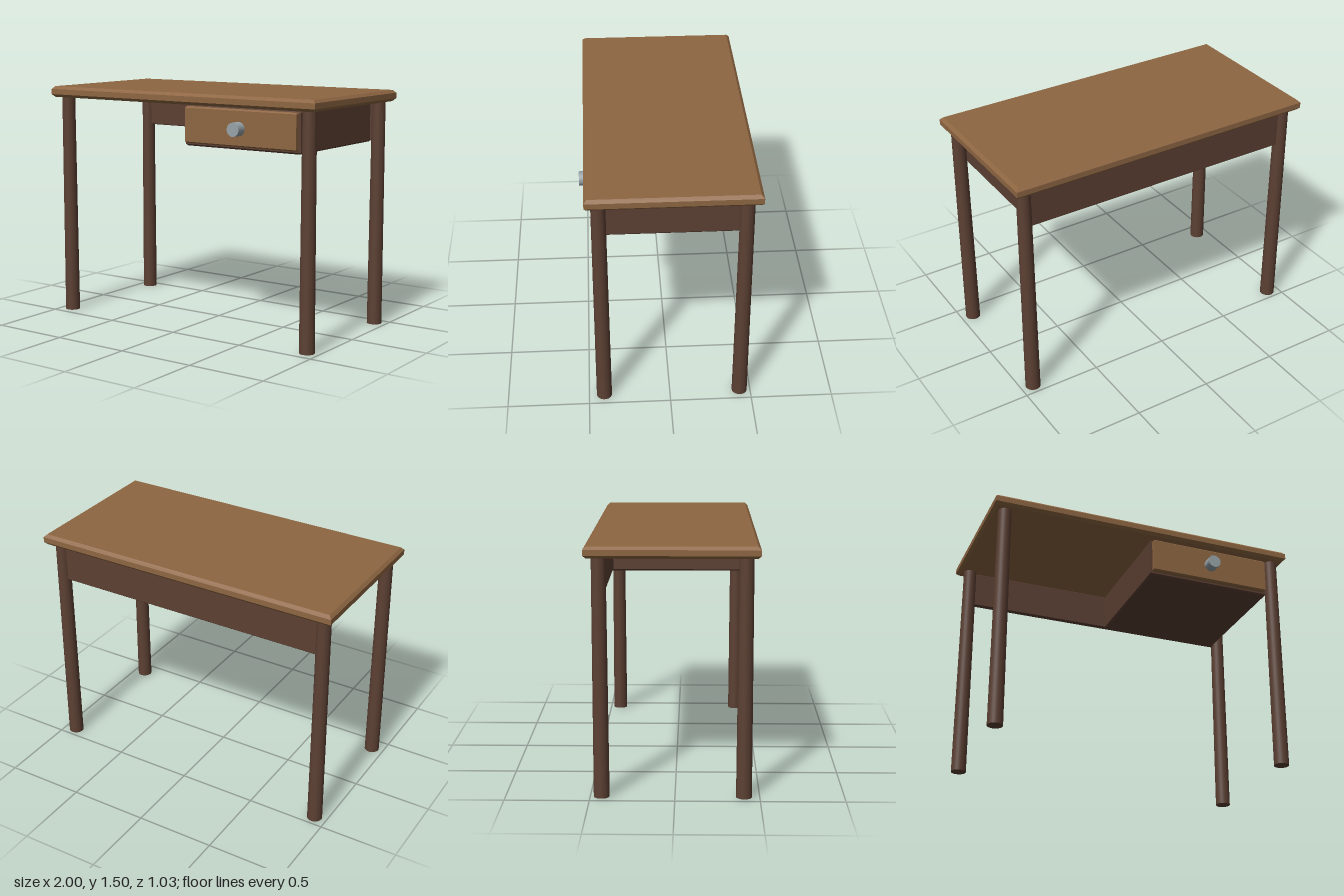
import * as THREE from 'three';

const lightWood = new THREE.MeshStandardMaterial({ color: 0x8e6642 });
const darkWood = new THREE.MeshStandardMaterial({ color: 0x5c4033 });
const metal = new THREE.MeshStandardMaterial({ color: 0x98a3a8 });

// Box with chamfered edges, given by its min and max corners
function chamferedBox(name, [x0, y0, z0], [x1, y1, z1], bevel, material) {
  const w = (x1 - x0) / 2 - bevel;
  const d = (z1 - z0) / 2 - bevel;
  const shape = new THREE.Shape();
  shape.moveTo(-w, -d);
  shape.lineTo(w, -d);
  shape.lineTo(w, d);
  shape.lineTo(-w, d);
  shape.closePath();
  const geometry = new THREE.ExtrudeGeometry(shape, {
    depth: y1 - y0 - 2 * bevel,
    bevelEnabled: true,
    bevelThickness: bevel,
    bevelSize: bevel,
    bevelSegments: 1,
  });
  geometry.rotateX(-Math.PI / 2);
  const mesh = new THREE.Mesh(geometry, material);
  mesh.name = name;
  mesh.position.set((x0 + x1) / 2, y0 + bevel, (z0 + z1) / 2);
  return mesh;
}

export function createModel() {
  const desk = new THREE.Group();
  desk.name = 'desk';

  // Chamfered table top
  desk.add(chamferedBox('tableTop', [-1, 1.43, -0.515], [1, 1.5, 0.485], 0.018, lightWood));

  // Four slightly tapered round legs
  const legGeometry = new THREE.CylinderGeometry(0.042, 0.047, 1.435, 32);
  for (const [end, z] of [['front', 0.407], ['back', -0.433]]) {
    for (const [side, x] of [['Left', 0.921], ['Right', -0.921]]) {
      const leg = new THREE.Mesh(legGeometry, darkWood);
      leg.name = `${end}${side}Leg`;
      leg.position.set(x, 1.435 / 2, z);
      desk.add(leg);
    }
  }

  // Back panel between the rear legs
  desk.add(chamferedBox('backPanel', [-0.89, 1.185, -0.45], [0.89, 1.42, -0.415], 0.004, darkWood));

  // Drawer housing, drawer front and round knob
  desk.add(chamferedBox('drawerHousing', [0.05, 1.175, -0.435], [0.872, 1.427, 0.42], 0.01, darkWood));
  desk.add(chamferedBox('drawerFront', [0.063, 1.195, 0.38], [0.858, 1.418, 0.45], 0.008, lightWood));
  const knob = new THREE.Mesh(new THREE.CylinderGeometry(0.042, 0.042, 0.075, 32), metal);
  knob.name = 'drawerKnob';
  knob.rotation.x = Math.PI / 2;
  knob.position.set(0.46, 1.303, 0.4775);
  desk.add(knob);

  return desk;
}
